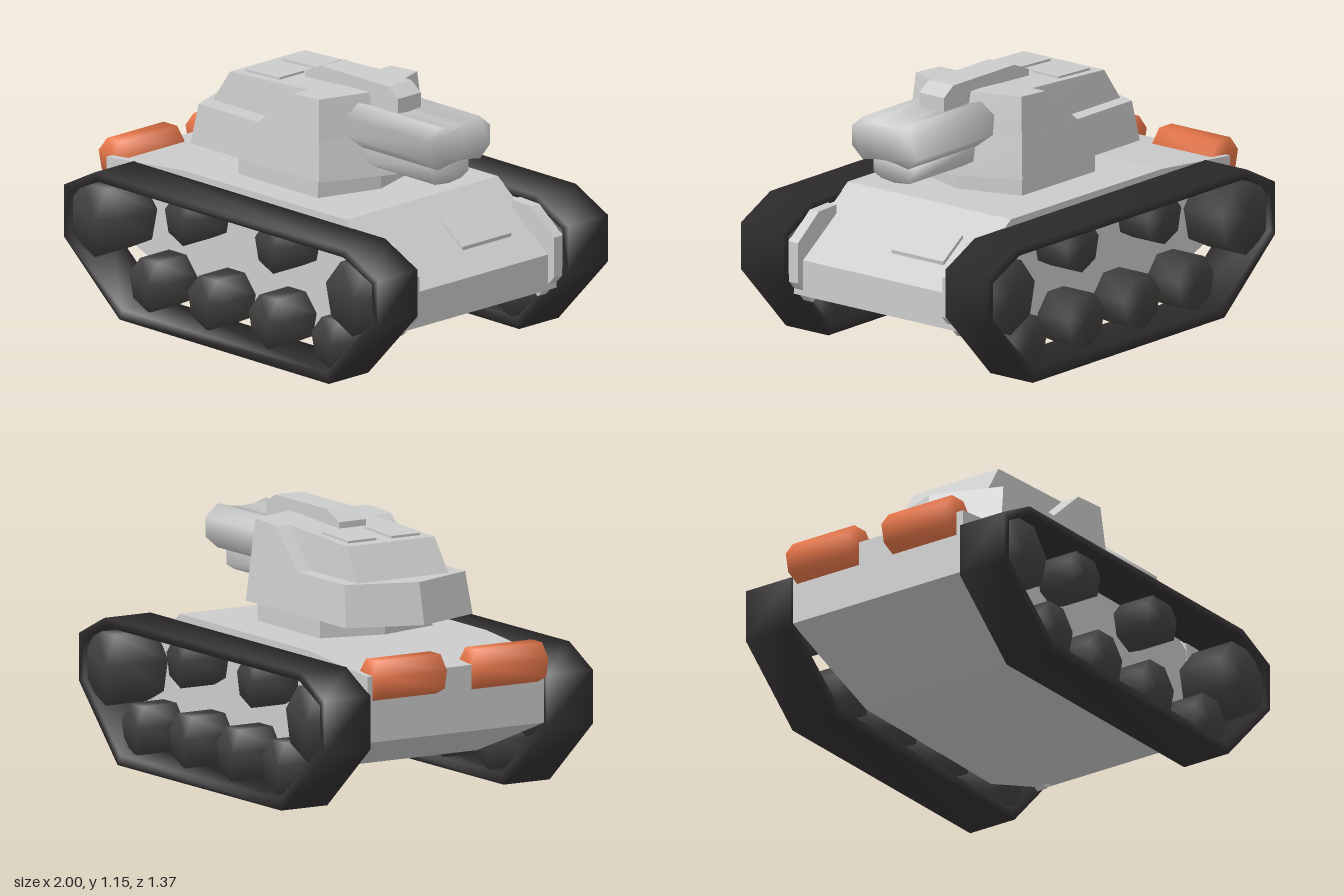
import * as THREE from 'three';
import { toCreasedNormals } from 'three/addons/utils/BufferGeometryUtils.js';
import { ConvexGeometry } from 'three/addons/geometries/ConvexGeometry.js';

const grey = new THREE.MeshStandardMaterial({ color: 0xcccccc });
const trackMat = new THREE.MeshStandardMaterial({ color: 0x302d2e });
const wheelMat = new THREE.MeshStandardMaterial({ color: 0x43413f });
const drumMat = new THREE.MeshStandardMaterial({ color: 0xe8774a });

const vec2 = (pts) => pts.map(([a, b]) => new THREE.Vector2(a, b));
const smooth = (geo) => toCreasedNormals(geo, Math.PI);

export function createModel() {
  const model = new THREE.Group();
  model.name = 'tank';

  const add = (name, geometry, material = grey, parent = model) => {
    const mesh = new THREE.Mesh(geometry, material);
    mesh.name = name;
    parent.add(mesh);
  };

  // side profile (x, y), clockwise, extruded from z0 to z1; the hole runs the other way round
  const sideSlab = (pts, z0, z1, hole) => {
    const shape = new THREE.Shape(vec2(pts));
    if (hole) shape.holes.push(new THREE.Path(vec2(hole).reverse()));
    return new THREE.ExtrudeGeometry(shape, { depth: z1 - z0, bevelEnabled: false }).translate(0, 0, z0);
  };

  // cross-section (z, y) extruded from x0 to x1
  const lengthwise = (pts, x0, x1) => {
    const shape = new THREE.Shape(vec2(pts.map(([z, y]) => [-z, y])));
    const geo = new THREE.ExtrudeGeometry(shape, { depth: x1 - x0, bevelEnabled: false });
    return smooth(geo.rotateY(Math.PI / 2).translate(x0, 0, 0));
  };

  // seven-sided roller along z with one corner pointing up
  const roller = (x, y, r, z0, z1) =>
    smooth(new THREE.CylinderGeometry(r, r, z1 - z0, 7).rotateX(-Math.PI / 2)
      .rotateZ(Math.PI).translate(x, y, (z0 + z1) / 2));

  // pointed six-sided plan: rear point, rear corner, front corner, front point, half width
  const MID = 0.03;
  const hexRing = (y, back, rear, front, nose, half) => [
    [back, y, MID], [nose, y, MID],
    ...[-1, 1].flatMap((s) => [[rear, y, MID + s * half], [front, y, MID + s * half]]),
  ];
  const convex = (pts) =>
    toCreasedNormals(new ConvexGeometry(pts.map((p) => new THREE.Vector3(...p))), 0.3);

  // hull
  add('hull', sideSlab([
    [-0.915, 0.608], [-0.45, 0.652], [0.56, 0.656], [0.925, 0.397], [0.925, 0.238],
    [0.53, 0.107], [-0.38, 0.117], [-0.57, 0.188], [-0.915, 0.32],
  ], -0.453, 0.453));

  // hatch lying on the sloped front plate
  add('frontHatch', sideSlab([
    [0.68, 0.56], [0.685, 0.584], [0.815, 0.494], [0.81, 0.465],
  ], -0.288, 0.002));

  // running gear, mirrored to both sides
  const trackOuter = [
    [-0.935, 0.53], [-0.75, 0.625], [0.8, 0.625], [0.998, 0.53],
    [0.998, 0.32], [0.695, 0], [-0.595, 0], [-0.935, 0.295],
  ];
  const trackInner = [
    [-0.9, 0.505], [-0.735, 0.588], [0.785, 0.588], [0.962, 0.505],
    [0.962, 0.335], [0.677, 0.047], [-0.577, 0.047], [-0.9, 0.32],
  ];
  // name, x, y, radius, outer end
  const wheels = [
    ['rearSprocket', -0.765, 0.405, 0.168, 0.665], ['frontSprocket', 0.82, 0.405, 0.168, 0.665],
    ...[-0.475, -0.115, 0.26].map((x) => ['roadWheel', x, 0.167, 0.124, 0.625]),
    ['roadWheel', 0.64, 0.158, 0.118, 0.625],
    ...[-0.265, 0.29].map((x) => ['returnRoller', x, 0.505, 0.115, 0.625]),
  ];
  for (const side of [1, -1]) {
    const gear = new THREE.Group();
    gear.name = side > 0 ? 'leftRunningGear' : 'rightRunningGear';
    model.add(gear);
    const span = (a, b) => (side > 0 ? [a, b] : [-b, -a]);
    add('track', smooth(sideSlab(trackOuter, ...span(0.45, 0.685), trackInner)), trackMat, gear);
    for (const [name, x, y, r, end] of wheels) {
      add(name, roller(x, y, r, ...span(0.452, end)), wheelMat, gear);
    }
    // bracket holding the front sprocket
    add('frontBracket', sideSlab([
      [0.7, 0.595], [0.82, 0.59], [0.96, 0.48], [0.96, 0.3], [0.86, 0.195], [0.72, 0.3],
    ], ...span(0.4, 0.456)), grey, gear);
  }

  // fuel drums across the rear
  for (const [z0, z1] of [[-0.427, -0.1], [0.08, 0.418]]) {
    add('fuelDrum', roller(-0.906, 0.592, 0.095, z0, z1), drumMat);
  }

  // turret
  const turret = new THREE.Group();
  turret.name = 'turret';
  turret.position.y = -0.005;
  model.add(turret);
  add('turretRing', convex([
    ...hexRing(0.64, -0.31, -0.24, 0.25, 0.34, 0.288),
    ...hexRing(0.75, -0.31, -0.24, 0.25, 0.34, 0.288),
  ]), grey, turret);
  add('turretBase', convex([
    ...hexRing(0.745, -0.618, -0.5, 0.29, 0.435, 0.323),
    ...hexRing(0.927, -0.58, -0.465, 0.275, 0.396, 0.308),
  ]), grey, turret);
  add('turretFront', convex([-1, 1].flatMap((s) => [
    [-0.1, 0.925, MID + s * 0.308], [0.275, 0.925, MID + s * 0.308],
    [0.1, 1.095, MID + s * 0.293], [0.26, 1.105, MID + s * 0.293],
  ]).concat([[0.396, 0.925, MID], [0.358, 1.105, MID]])), grey, turret);
  add('turretCabin', convex([-1, 1].flatMap((s) => [
    [-0.47, 0.922, 0.02 + s * 0.232], [0.1, 0.922, 0.02 + s * 0.232],
    [-0.37, 1.072, 0.02 + s * 0.223], [0.1, 1.095, 0.02 + s * 0.213],
  ])), grey, turret);

  // roof hatches
  for (const [z0, z1] of [[-0.165, -0.02], [0.055, 0.2]]) {
    add('roofHatch', sideSlab([
      [-0.32, 1.06], [-0.32, 1.085], [-0.11, 1.094], [-0.11, 1.07],
    ], z0, z1), grey, turret);
  }

  // raised spine above the gun
  add('roofSpine', sideSlab([
    [-0.06, 1.07], [-0.06, 1.115], [0.04, 1.157], [0.45, 1.157], [0.513, 1.115], [0.513, 1.045], [0.3, 1.06],
  ], -0.042, 0.095), grey, turret);

  // twin-lobed guns, mirrored about the turret's centre line
  const mirrored = (half) => [
    ...half.map(([d, y]) => [MID + d, y]),
    ...half.slice(1, -1).reverse().map(([d, y]) => [MID - d, y]),
  ];
  add('mainGun', lengthwise(mirrored([
    [0, 1.045], [0.06, 1.05], [0.122, 1.068], [0.186, 1.015],
    [0.186, 0.928], [0.125, 0.876], [0.06, 0.888], [0, 0.893],
  ]), 0.3, 0.82), grey, turret);
  add('lowerGun', lengthwise(mirrored([
    [0, 0.885], [0.08, 0.895], [0.12, 0.875], [0.12, 0.81], [0.08, 0.787], [0, 0.778],
  ]), 0.36, 0.755), grey, turret);

  return model;
}
